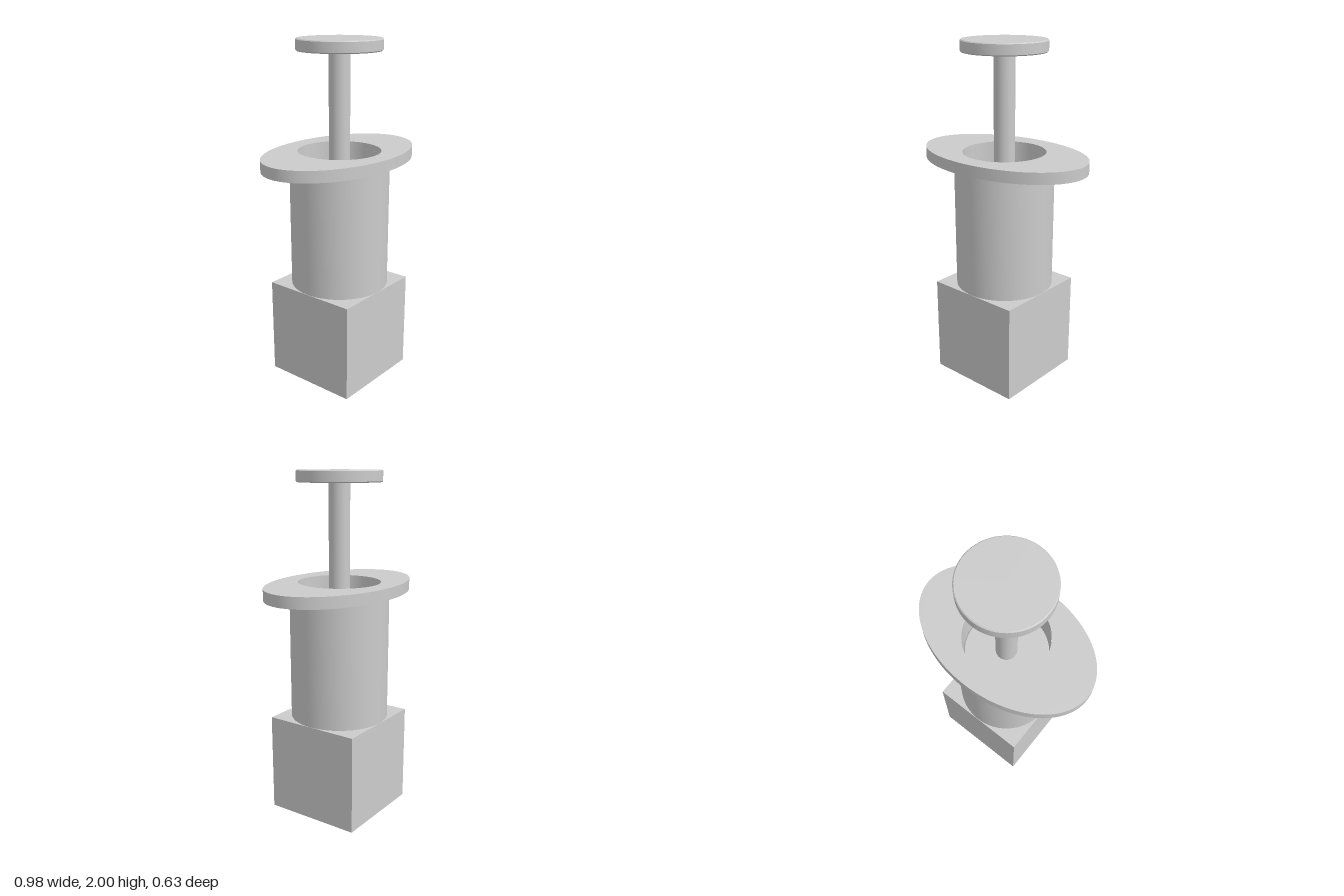
import * as THREE from 'three';
import { toCreasedNormals } from 'three/addons/utils/BufferGeometryUtils.js';

const material = new THREE.MeshStandardMaterial({ color: 0xcccccc });
const BORE = 0.218;

export function createModel() {
  const group = new THREE.Group();

  function add(name, geometry, y = 0) {
    const mesh = new THREE.Mesh(geometry, material);
    mesh.name = name;
    mesh.position.y = y;
    group.add(mesh);
    return mesh;
  }

  // solid round part between two heights, with slightly softened rims
  function disc(name, radius, bottom, top, soft = 0.005) {
    const profile = [
      [0, bottom], [radius - soft, bottom], [radius, bottom + soft],
      [radius, top - soft], [radius - soft, top], [0, top],
    ].map(([x, y]) => new THREE.Vector2(x, y));
    return add(name, toCreasedNormals(new THREE.LatheGeometry(profile, 64), 0.6));
  }

  // plunger: thumb rest, rod and piston inside the barrel
  disc('thumbRest', 0.22, 1.94, 2);
  add('plungerRod', new THREE.CylinderGeometry(0.055, 0.055, 0.7, 40), 1.6);
  disc('piston', BORE - 0.002, 1.2, 1.26);

  // hollow barrel: outer wall, rim, bore and floor
  const wall = [[0.263, 0.7], [0.263, 1.4], [BORE, 1.4], [BORE, 0.72], [0, 0.72]]
    .map(([x, y]) => new THREE.Vector2(x, y));
  add('barrel', toCreasedNormals(new THREE.LatheGeometry(wall, 64), 0.6));

  // oval finger flange with a round opening
  const oval = new THREE.Shape().absellipse(0, 0, 0.488, 0.316, 0, Math.PI * 2);
  oval.holes.push(new THREE.Path().absarc(0, 0, BORE, 0, Math.PI * 2, true));
  const flange = new THREE.ExtrudeGeometry(oval, { depth: 0.06, bevelEnabled: false, curveSegments: 64 });
  flange.rotateX(-Math.PI / 2);
  add('fingerFlange', toCreasedNormals(flange, 0.6), 1.375);

  // square block below the barrel
  add('baseBlock', new THREE.BoxGeometry(0.53, 0.53, 0.53), 0.435);

  // needle with a slanted tip: lower ring slopes down towards +x
  const r = 0.014;
  const needle = new THREE.CylinderGeometry(r, r, 0.2, 24);
  needle.translate(0, 0.1, 0);
  const p = needle.attributes.position;
  for (let i = 0; i < p.count; i++) {
    if (p.getY(i) < 0.01) p.setY(i, (r - p.getX(i)) * 1.25);
  }
  add('needle', toCreasedNormals(needle, 0.6));

  return group;
}
